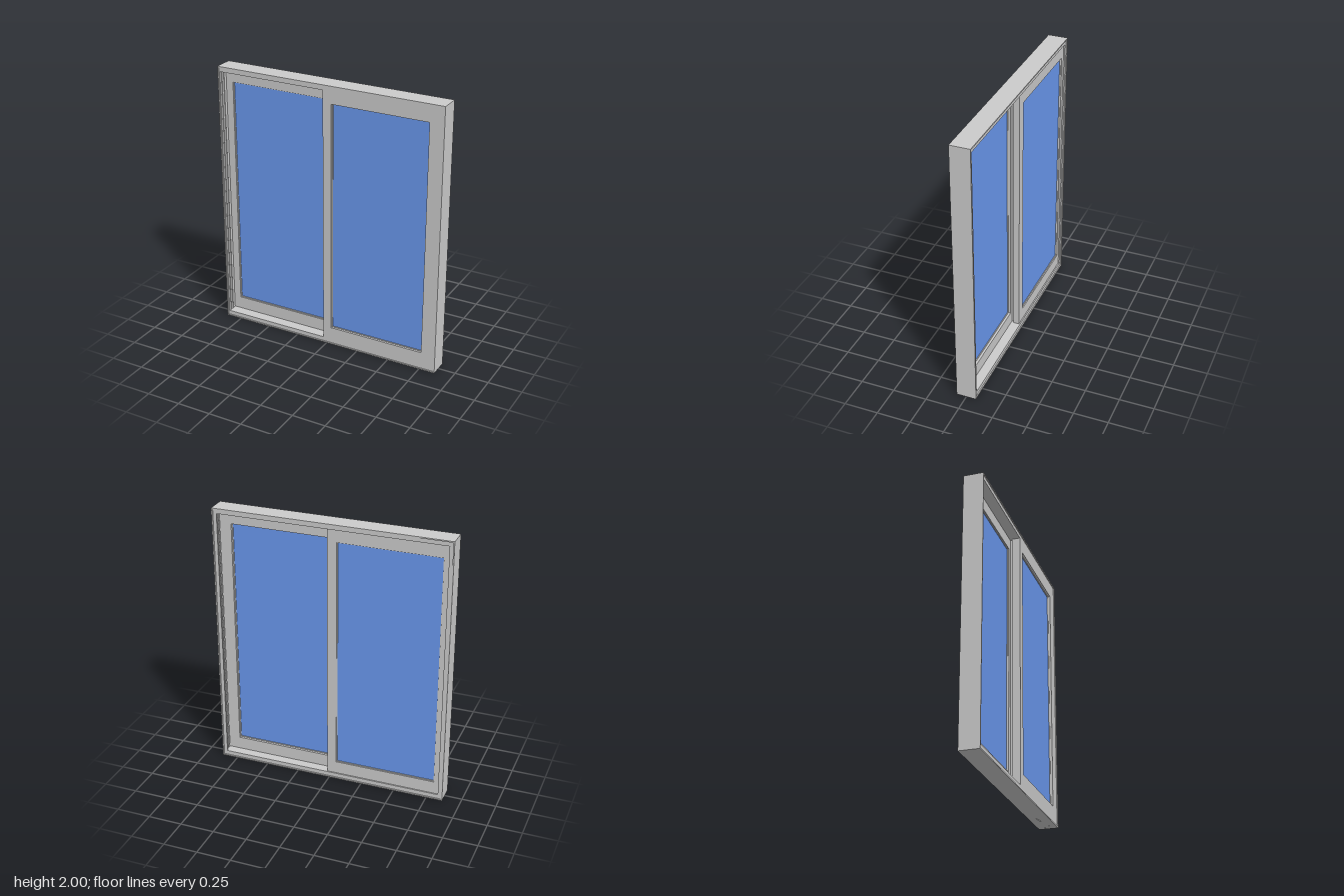
import * as THREE from 'three';

const grey = new THREE.MeshStandardMaterial({ color: 0xcccccc, flatShading: true });
const blue = new THREE.MeshStandardMaterial({ color: 0x6a98ee });

// Rectangle outlines are given as [x0, y0, x1, y1]
function trace(path, [x0, y0, x1, y1]) {
  path.moveTo(x0, y0);
  path.lineTo(x1, y0);
  path.lineTo(x1, y1);
  path.lineTo(x0, y1);
  path.closePath();
  return path;
}

// Flat plate with rectangular openings, from z0 to z1
function plate(name, outer, openings, z0, z1) {
  const shape = trace(new THREE.Shape(), outer);
  for (const o of openings) shape.holes.push(trace(new THREE.Path(), o));
  const geo = new THREE.ExtrudeGeometry(shape, { depth: z1 - z0, bevelEnabled: false });
  geo.translate(0, 0, z0);
  const mesh = new THREE.Mesh(geo, grey);
  mesh.name = name;
  return mesh;
}

function box(name, [x0, y0, x1, y1], z0, z1, material = grey) {
  const mesh = new THREE.Mesh(new THREE.BoxGeometry(x1 - x0, y1 - y0, z1 - z0), material);
  mesh.position.set((x0 + x1) / 2, (y0 + y1) / 2, (z0 + z1) / 2);
  mesh.name = name;
  return mesh;
}

const inset = ([x0, y0, x1, y1], d) => [x0 + d, y0 + d, x1 - d, y1 - d];

// Glass pane with a slim bead around it on both faces
function glazing(name, rect, z) {
  const group = new THREE.Group();
  group.name = name;
  group.add(box('glass', rect, z - 0.008, z + 0.008, blue));
  group.add(plate('glazingBead', rect, [inset(rect, 0.005)], z - 0.014, z + 0.014));
  return group;
}

export function createModel() {
  const model = new THREE.Group();
  model.name = 'slidingWindow';

  const outer = [-0.87, 0, 0.87, 2];
  const rim = inset(outer, 0.009);
  const core = [-0.855, 0.04, 0.855, 1.96];
  const fixedGlass = [0.035, 0.135, 0.76, 1.87];
  const slidingGlass = [-0.8, 0.135, -0.05, 1.87];

  // Outer frame: jambs and head
  const D = 0.073;
  model.add(box('jambLeft', [0.861, 0, 0.87, 2], -D, D));
  model.add(box('jambRight', [-0.87, 0, -0.861, 2], -D, D));
  model.add(box('head', [-0.861, 1.991, 0.861, 2], -D, D));

  // Bottom plate with small drain holes
  const base = trace(new THREE.Shape(), [-0.861, -D, 0.861, D]);
  for (const [x, y] of [[0.8, -0.023], [0.83, 0.018], [0.67, 0.007], [0.635, 0.01], [0.6, 0.013]]) {
    base.holes.push(new THREE.Path().absarc(x, y, 0.006, 0, Math.PI * 2, true));
  }
  const baseGeo = new THREE.ExtrudeGeometry(base, { depth: 0.009, bevelEnabled: false, curveSegments: 8 });
  baseGeo.rotateX(-Math.PI / 2);
  const sill = new THREE.Mesh(baseGeo, grey);
  sill.name = 'bottomPlate';
  model.add(sill);

  // Front face with the fixed sash, hollow core behind it and rear lip
  model.add(plate('fixedSash', rim, [[-0.855, 0.04, -0.03, 1.96], fixedGlass], 0.005, 0.066));
  model.add(plate('frameCore', rim, [core], -0.056, 0.005));
  model.add(plate('rearLip', rim, [[-0.835, 0.04, 0.835, 1.96]], -0.065, -0.056));
  model.add(glazing('fixedPane', fixedGlass, 0.036));

  // Sliding sash in the rear track
  model.add(plate('slidingSash', [-0.855, 0.04, 0.02, 1.96], [slidingGlass], -0.056, -0.012));
  model.add(glazing('slidingPane', slidingGlass, -0.034));

  // Track ribs on the exposed jamb and head of the rear opening
  for (const z of [-0.04, -0.022, -0.004]) {
    model.add(box('jambRib', [0.843, 0.04, 0.856, 1.96], z - 0.003, z + 0.003));
    model.add(box('headRib', [0.02, 1.951, 0.856, 1.961], z - 0.003, z + 0.003));
  }
  // Seal ribs on the jamb of the front opening
  for (const z of [0.045, 0.018]) {
    model.add(box('jambSeal', [-0.856, 0.04, -0.85, 1.96], z - 0.003, z + 0.003));
  }
  // Interlock strip closing the gap between the sashes
  model.add(box('interlock', [-0.015, 0.04, 0.005, 1.96], -0.013, 0.006));

  return model;
}
